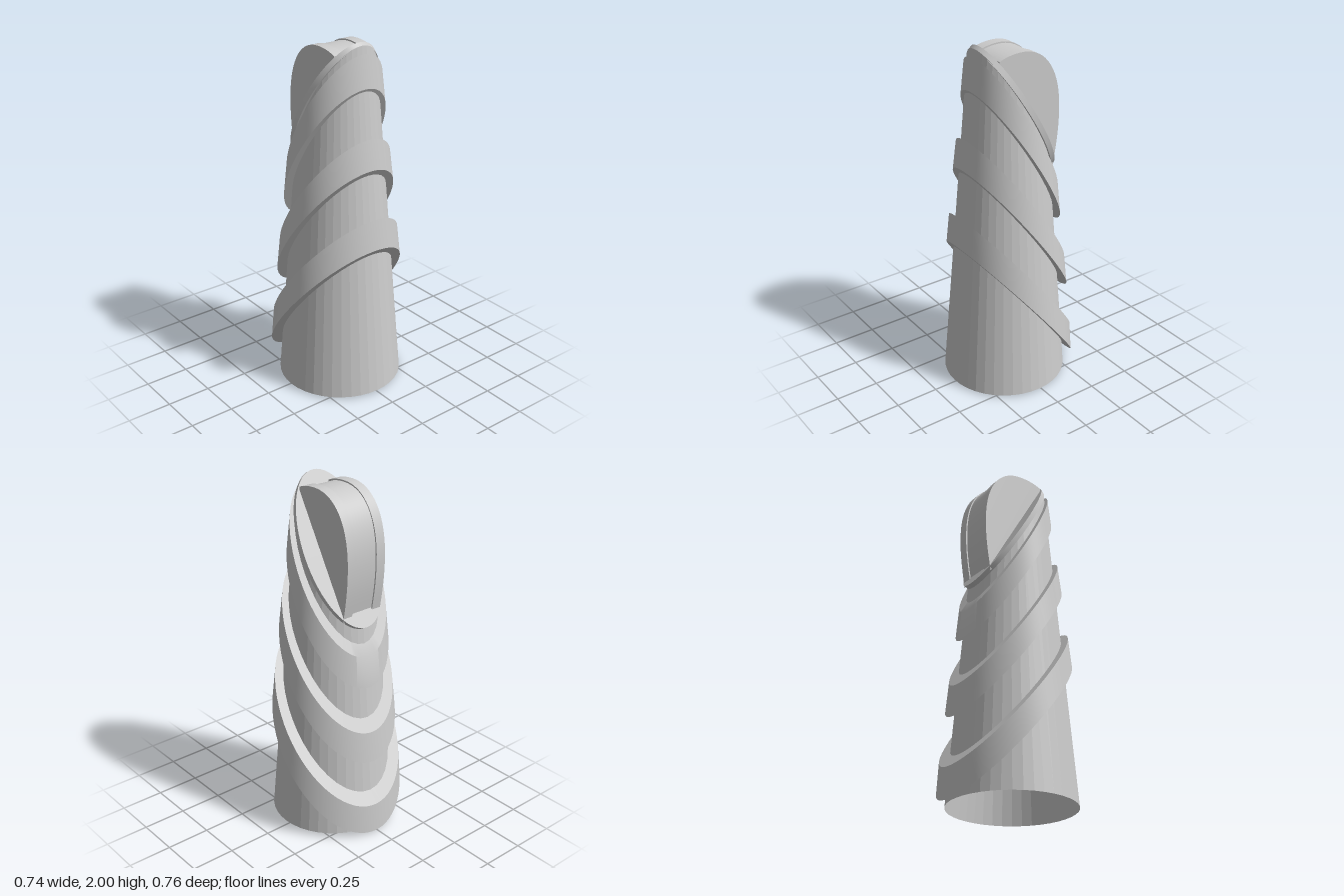
import * as THREE from 'three';
import { toCreasedNormals } from 'three/addons/utils/BufferGeometryUtils.js';

const material = new THREE.MeshStandardMaterial({ color: 0xcccccc, side: THREE.DoubleSide });

// Skin a surface over closed loops; each loop maps an angle to [x, y, z]
function loft(loops, segments, crease) {
  const positions = [], index = [];
  const stride = segments + 1;
  loops.forEach((loop, i) => {
    for (let j = 0; j <= segments; j++) {
      positions.push(...loop(((j % segments) / segments) * Math.PI * 2));
      if (i + 1 < loops.length && j < segments) {
        const a = i * stride + j, b = a + stride;
        index.push(a, b, b + 1, a, b + 1, a + 1);
      }
    }
  });
  const geometry = new THREE.BufferGeometry();
  geometry.setAttribute('position', new THREE.Float32BufferAttribute(positions, 3));
  geometry.setIndex(index);
  return toCreasedNormals(geometry, crease);
}

// Tilted ellipse between a low left end and a high right end, shrunk in its own plane
function tilted([x0, y0], [x1, y1], halfZ, scale = 1) {
  return (a) => {
    const c = Math.cos(a) * scale;
    return [
      (x0 + x1) / 2 + ((x1 - x0) / 2) * c,
      (y0 + y1) / 2 + ((y1 - y0) / 2) * c,
      halfZ * scale * Math.sin(a),
    ];
  };
}

function addMesh(group, name, geometry) {
  const mesh = new THREE.Mesh(geometry, material);
  mesh.name = name;
  group.add(mesh);
  return mesh;
}

export function createModel() {
  const model = new THREE.Group();
  model.name = 'bandedTower';

  // Tapered hollow body, cut off by the sloping plane y = slope * x + rise
  const slope = 1.7, rise = 1.65;
  const bodyPoint = (a, y) => {
    const r = 0.352 - 0.082 * y;
    return [0.0175 - 0.004 * y + r * Math.cos(a), y, r * Math.sin(a)];
  };
  const cutHeight = (a) => {
    const c = Math.cos(a);
    return (slope * (0.0175 + 0.352 * c) + rise) / (1 + slope * (0.004 + 0.082 * c));
  };
  addMesh(model, 'body', loft([
    (a) => bodyPoint(a, 0.01),
    (a) => bodyPoint(a, cutHeight(a)),
  ], 40, 0.05));

  // Three slanted bands: lower and upper outer edges, growing steeper upwards
  const bands = [
    { low: [[-0.375, 0], [0.323, 0.88]], high: [[-0.368, 0.175], [0.307, 1.055]], z: 0.382 },
    { low: [[-0.344, 0.45], [0.28, 1.33]], high: [[-0.328, 0.63], [0.26, 1.5]], z: 0.333 },
    { low: [[-0.297, 0.895], [0.228, 1.765]], high: [[-0.282, 1.075], [0.21, 1.945]], z: 0.285 },
  ];
  for (const { low, high, z } of bands) {
    const inner = 0.78;
    addMesh(model, 'slantedBand', loft([
      tilted(...low, z, inner),
      tilted(...low, z),
      tilted(...high, z - 0.02),
      tilted(...high, z - 0.02, inner),
      tilted(...low, z, inner),
    ], 64, 0.5));
  }

  // Sloping lid disc
  const under = [[-0.24, 1.227], [0.197, 1.977]];
  const upper = [[-0.265, 1.24], [0.175, 2.0]];
  addMesh(model, 'slopingLid', loft([
    tilted(...under, 0.232, 0.001),
    tilted(...under, 0.232),
    tilted(...upper, 0.235),
    tilted(...upper, 0.235, 0.001),
  ], 64, 0.5));

  // Rounded fin standing on the lid: two outer plates and a recessed core
  function fin(name, inset, depth, z) {
    const left = -0.255 + inset, top = 1.965 - inset, right = 0.132 - inset;
    const shape = new THREE.Shape();
    shape.moveTo(-0.22 + inset, 1.28);
    shape.bezierCurveTo(-0.24 + inset, 1.4, left, 1.48, left, 1.6);
    shape.bezierCurveTo(left, 1.84, -0.15, top, 0, top);
    shape.quadraticCurveTo(0.08, top, right, top - 0.025);
    shape.lineTo(right, 1.89);
    const geometry = new THREE.ExtrudeGeometry(shape, { depth, bevelEnabled: false, curveSegments: 20 });
    addMesh(model, name, toCreasedNormals(geometry, 0.5)).position.z = z;
  }
  fin('finPlate', 0, 0.058, 0.07);
  fin('finPlate', 0, 0.058, -0.128);
  fin('finCore', 0.008, 0.14, -0.07);

  return model;
}
